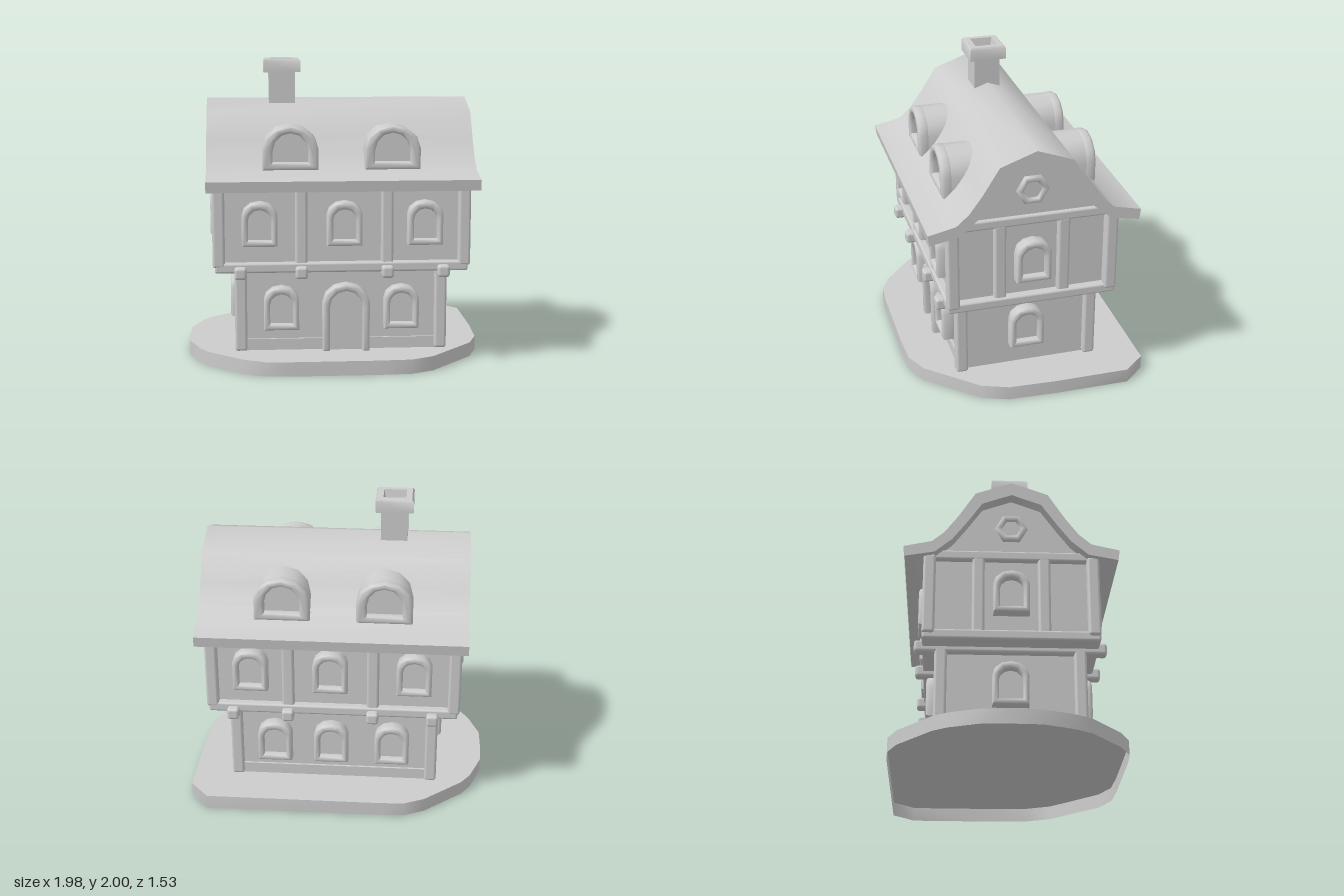
import * as THREE from 'three';
import { toCreasedNormals } from 'three/addons/utils/BufferGeometryUtils.js';
import { RoundedBoxGeometry } from 'three/addons/geometries/RoundedBoxGeometry.js';

const stone = new THREE.MeshStandardMaterial({ color: 0xcccccc, side: THREE.DoubleSide });
stone.name = 'pale grey';
const CX = 0.025; // the house sits slightly to its left of the base centre

export function createModel() {
  const model = new THREE.Group();
  model.name = 'house';

  const add = (name, geometry, parent = model) => {
    const mesh = new THREE.Mesh(geometry, stone);
    mesh.name = name;
    parent.add(mesh);
    return mesh;
  };
  // Plain or softly bevelled box given by its limits
  const box = (name, x0, x1, y0, y1, z0, z1, bevel = 0) => {
    const s = [x1 - x0, y1 - y0, z1 - z0];
    const g = bevel ? new RoundedBoxGeometry(...s, 2, bevel) : new THREE.BoxGeometry(...s);
    add(name, g).position.set((x0 + x1) / 2, (y0 + y1) / 2, (z0 + z1) / 2);
  };
  const shapeOf = pts => new THREE.Shape(pts.map(p => new THREE.Vector2(...p)));
  const extrude = (shape, depth, bevel = 0) => toCreasedNormals(new THREE.ExtrudeGeometry(shape, {
    depth, bevelEnabled: bevel > 0, bevelThickness: bevel, bevelSize: bevel,
    bevelOffset: -bevel, bevelSegments: 2, curveSegments: 6,
  }), 0.9);
  // Arch outline, counter-clockwise from the bottom left
  const arch = (w, y0, top, rise) => {
    const pts = [[-w, y0], [w, y0]];
    for (let i = 0; i <= 6; i++) {
      const a = i / 6 * Math.PI;
      pts.push([w * Math.cos(a), top - rise + rise * Math.sin(a)]);
    }
    return pts;
  };
  const place = (name, x, y, z, turn) => {
    const g = new THREE.Group();
    g.name = name;
    g.position.set(x, y, z);
    g.rotation.y = turn;
    model.add(g);
    return g;
  };

  // Base: a hollow plate, open underneath
  const outline = [[0.86, -0.77], [0.985, -0.625], [0.985, -0.13], [0.97, 0.19], [0.905, 0.36], [0.61, 0.68],
    [0.46, 0.75], [0.24, 0.76], [-0.33, 0.76], [-0.48, 0.75], [-0.62, 0.68], [-0.85, 0.48], [-0.91, 0.38],
    [-0.985, 0.18], [-0.99, 0], [-0.985, -0.185], [-0.91, -0.39], [-0.85, -0.48], [-0.6, -0.7],
    [-0.47, -0.76], [-0.32, -0.77]];
  const baseTop = new THREE.ShapeGeometry(shapeOf(outline.map(([x, z]) => [x, -z])));
  add('baseTop', baseTop.rotateX(-Math.PI / 2).translate(0, 0.095, 0));
  const rim = [], faces = [], n = outline.length;
  outline.forEach(([x, z], i) => {
    rim.push(x, 0, z, x, 0.095, z);
    const a = 2 * i, b = 2 * ((i + 1) % n);
    faces.push(a, a + 1, b, b, a + 1, b + 1);
  });
  const rimGeometry = new THREE.BufferGeometry();
  rimGeometry.setAttribute('position', new THREE.Float32BufferAttribute(rim, 3));
  rimGeometry.setIndex(faces);
  rimGeometry.computeVertexNormals();
  add('baseRim', rimGeometry);

  // Walls and floor bands
  box('lowerWalls', CX - 0.655, CX + 0.655, 0.095, 0.66, -0.44, 0.44);
  box('upperWalls', CX - 0.77, CX + 0.77, 0.66, 1.24, -0.51, 0.51);
  box('floorBand', CX - 0.825, CX + 0.825, 0.635, 0.7, -0.56, 0.56, 0.015);
  box('eavesBand', CX - 0.81, CX + 0.81, 1.2, 1.265, -0.54, 0.54, 0.015);

  // Posts, joists and plinth strips
  for (const s of [-1, 1]) {
    for (const t of [-1, 1]) {
      const lx = CX + t * 0.66, ux = CX + t * 0.8;
      box('lowerPost', lx - 0.04, lx + 0.04, 0.095, 0.66, s * 0.44 - 0.04, s * 0.44 + 0.04, 0.018);
      box('upperPost', ux - 0.04, ux + 0.04, 0.67, 1.22, s * 0.522 - 0.04, s * 0.522 + 0.04, 0.018);
      box('frontPost', CX + 0.015 + t * 0.28 - 0.04, CX + 0.015 + t * 0.28 + 0.04, 0.66, 1.23,
        s * 0.51 - 0.04, s * 0.51 + 0.04, 0.018);
      box('sidePost', CX + t * 0.775 - 0.035, CX + t * 0.775 + 0.035, 0.68, 1.22,
        s * 0.21 - 0.04, s * 0.21 + 0.04, 0.018);
    }
    box('plinthStrip', CX - 0.64, CX + 0.64, 0.095, 0.17, s * 0.445 - 0.01, s * 0.445 + 0.01);
  }
  for (const x of [-0.635, -0.24, 0.32, 0.685]) {
    box('joist', x - 0.04, x + 0.04, 0.6, 0.68, -0.61, 0.61, 0.02);
  }

  // Arched windows: a bevelled frame around a recessed pane
  const frame = shapeOf(arch(0.115, 0, 0.292, 0.09));
  frame.holes.push(shapeOf(arch(0.075, 0.04, 0.24, 0.07)));
  const frameGeometry = extrude(frame, 0.06, 0.018);
  const paneGeometry = new THREE.ShapeGeometry(shapeOf(arch(0.09, 0.02, 0.265, 0.08)));
  const arched = (x, y, z, turn) => {
    const g = place('window', x, y, z, turn);
    add('windowFrame', frameGeometry, g);
    add('windowPane', paneGeometry, g).position.z = 0.03;
  };
  for (const [y, dz, dx, xs] of [[0.243, 0.452, 0.652, [-0.37, 0.42]], [0.812, 0.512, 0.785, [-0.51, 0.04, 0.565]]]) {
    for (const x of xs) {
      arched(x, y, dz, 0);
      arched(x, y, -dz, Math.PI);
    }
    arched(CX + dx, y, 0, Math.PI / 2);
    arched(CX - dx, y, 0, -Math.PI / 2);
  }
  arched(0.04, 0.243, -0.452, Math.PI);

  // Door
  const door = place('door', 0.055, 0.095, 0.452, 0);
  const inner = arch(0.108, 0, 0.405, 0.11);
  const surround = [...arch(0.155, 0, 0.455, 0.13).slice(1), [-0.155, 0], inner[0], ...inner.slice(2).reverse(), inner[1]];
  add('doorFrame', extrude(shapeOf(surround), 0.06, 0.018), door);
  add('doorPanel', new THREE.ShapeGeometry(shapeOf(arch(0.13, 0, 0.43, 0.12))), door).position.z = 0.02;

  // Gable walls and the bell-shaped roof, both extruded along x
  const mirrored = half => [...half, ...half.slice(0, -1).reverse().map(([z, y]) => [-z, y])];
  const alongX = (pts, x0, x1) =>
    extrude(shapeOf(pts), x1 - x0).rotateY(Math.PI / 2).translate(x0, 0, 0);
  const outer = mirrored([[0.69, 1.25], [0.51, 1.29], [0.43, 1.36], [0.345, 1.475], [0.235, 1.65], [0, 1.735]]);
  const under = mirrored([[0.68, 1.18], [0.49, 1.215], [0.38, 1.31], [0.29, 1.43], [0.19, 1.575], [0, 1.645]]);
  add('roof', alongX([...outer, ...under.reverse()], -0.85, 0.905));
  add('gableWalls', alongX(mirrored([[0.5, 1.22], [0.4, 1.33], [0.31, 1.45], [0.21, 1.6], [0, 1.68]]), CX - 0.785, CX + 0.785));

  // Hexagonal gable windows
  for (const s of [-1, 1]) {
    const g = place('gableWindow', CX + s * 0.79, 1.437, 0, s * Math.PI / 2);
    add('gableWindowFrame', new THREE.TorusGeometry(0.083, 0.025, 8, 6), g);
    add('gableWindowPane', new THREE.CircleGeometry(0.08, 6), g).position.z = 0.005;
  }

  // Dormers on both slopes
  const dormerFrame = shapeOf(arch(0.182, 0, 0.288, 0.15));
  dormerFrame.holes.push(shapeOf(arch(0.115, 0.05, 0.24, 0.12)));
  const dormerFrameGeometry = extrude(dormerFrame, 0.04, 0.02);
  const dormerBody = extrude(shapeOf(arch(0.18, 0, 0.286, 0.15)), 0.31);
  for (const x of [-0.307, 0.357]) {
    for (const turn of [0, Math.PI]) {
      const g = place('dormer', x, 1.298, 0, turn);
      add('dormerBody', dormerBody, g).position.z = 0.15;
      add('dormerFrame', dormerFrameGeometry, g).position.z = 0.455;
    }
  }

  // Chimney: square lathe with a sunken flue
  const profile = [[0.088, 1.62], [0.088, 1.91], [0.124, 1.91], [0.124, 1.985], [0.112, 2], [0.075, 2], [0.06, 1.93], [0, 1.93]];
  const chimney = new THREE.LatheGeometry(profile.map(([r, y]) => new THREE.Vector2(r * Math.SQRT2, y)), 4, Math.PI / 4);
  add('chimney', toCreasedNormals(chimney, 0.7)).position.set(-0.347, 0, 0.003);

  return model;
}
